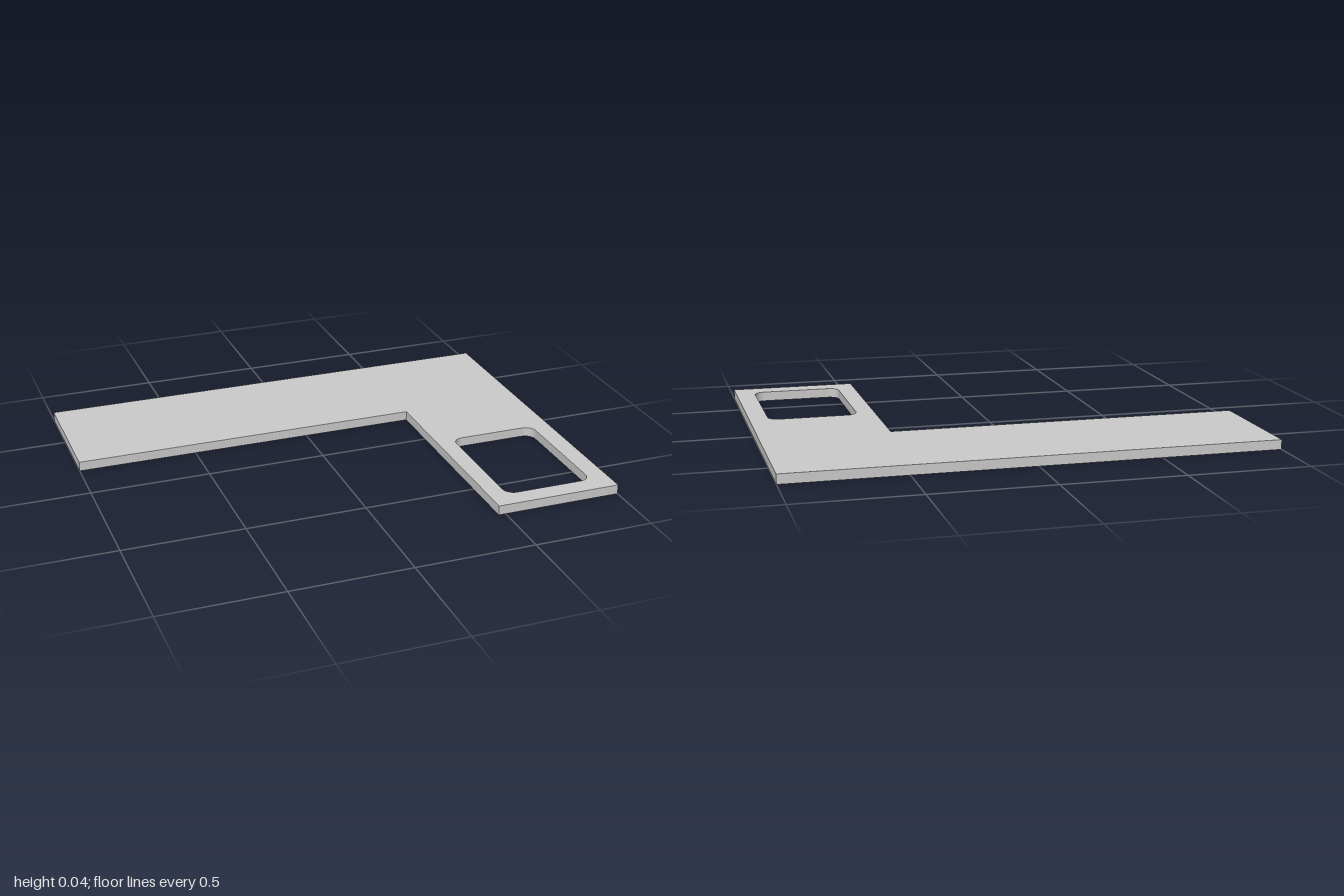
import * as THREE from 'three';

const THICKNESS = 0.04;

// Rounded rectangular cut-out, in plan coordinates (x, -z)
function roundedHole(x0, y0, x1, y1, r) {
  const p = new THREE.Path();
  p.absarc(x1 - r, y1 - r, r, 0, Math.PI / 2);
  p.absarc(x0 + r, y1 - r, r, Math.PI / 2, Math.PI);
  p.absarc(x0 + r, y0 + r, r, Math.PI, Math.PI * 1.5);
  p.absarc(x1 - r, y0 + r, r, Math.PI * 1.5, Math.PI * 2);
  p.closePath();
  return p;
}

export function createModel() {
  const group = new THREE.Group();
  group.name = 'lShapedCountertop';

  // L-shaped outline, drawn as (x, -z)
  const outline = new THREE.Shape([
    [-1, 0.735], [-1, 0.21], [0.47, 0.21], [0.47, -0.735], [1, -0.735], [1, 0.735],
  ].map(([x, y]) => new THREE.Vector2(x, y)));

  // Sink opening near the end of the short arm
  outline.holes.push(roundedHole(0.545, -0.652, 0.92, -0.118, 0.045));

  // Slab, laid flat with its underside on the ground
  const geometry = new THREE.ExtrudeGeometry(outline, {
    depth: THICKNESS, bevelEnabled: false, curveSegments: 8,
  });
  geometry.rotateX(-Math.PI / 2);

  const slab = new THREE.Mesh(geometry, new THREE.MeshStandardMaterial({ color: 0xcccccc }));
  slab.name = 'countertopSlab';
  group.add(slab);
  return group;
}
